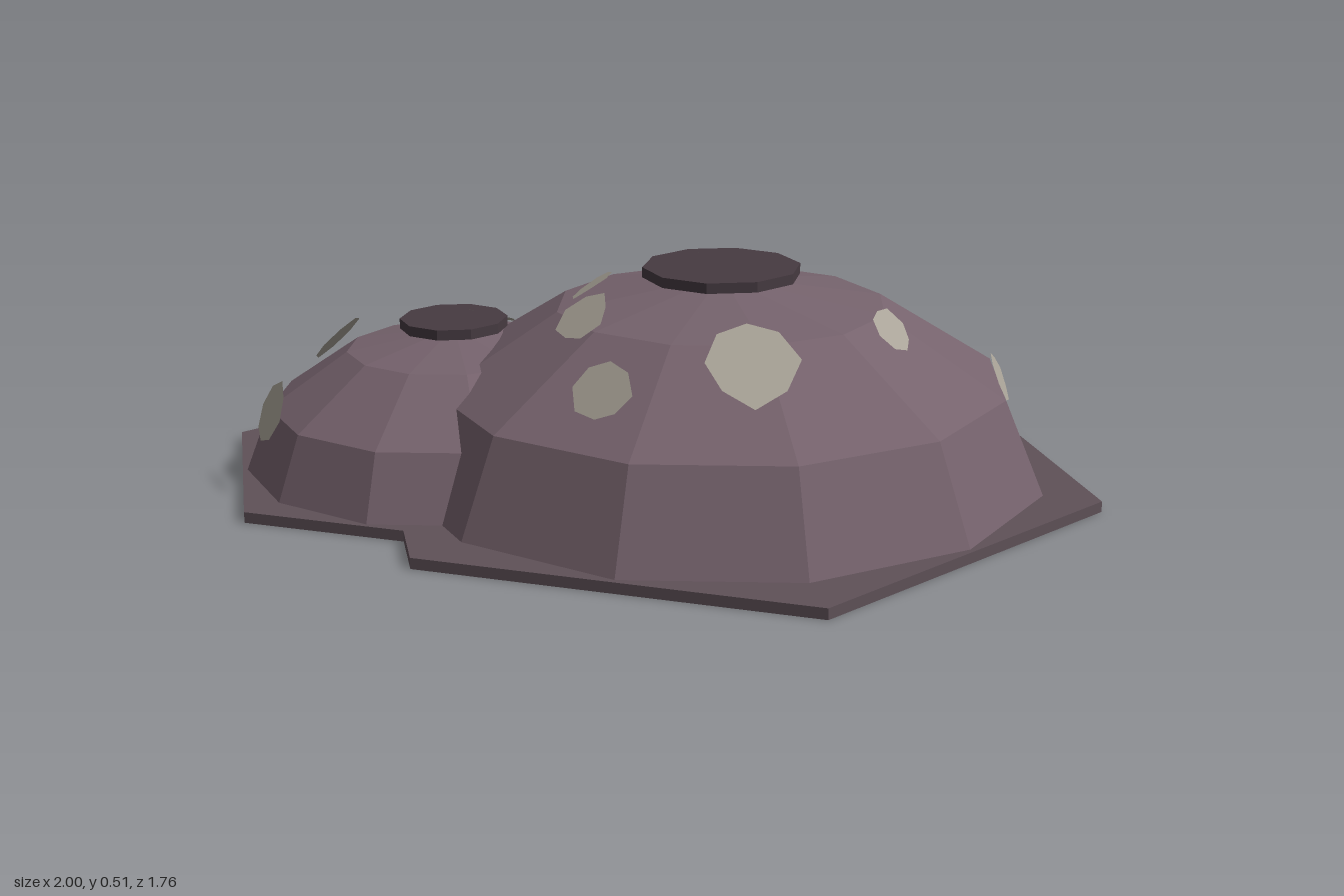
import * as THREE from 'three';

const paint = (color) => new THREE.MeshStandardMaterial({ color, flatShading: true, side: THREE.DoubleSide });
const rock = paint(0x75626c);
const ground = paint(0x5f5158);
const cap = paint(0x463a41);
const lichen = paint(0xaaa498);

// small seeded generator for the ragged patch outlines
let seed = 7;
const rand = () => (seed = (seed * 16807) % 2147483647) / 2147483647;

function add(parent, name, geometry, material) {
  const mesh = new THREE.Mesh(geometry, material);
  mesh.name = name;
  parent.add(mesh);
  return mesh;
}

// hexagon outline with corners on the x axis
function hexPoints(r) {
  return Array.from({ length: 6 }, (_, i) =>
    new THREE.Vector2(r * Math.cos(i * Math.PI / 3), r * Math.sin(i * Math.PI / 3)));
}

// flat ragged polygon lying on the dome, facing away from the dome's centre
function addPatch(parent, dome, [x, z, size, lift = 0.01]) {
  const dx = x - dome.x, dz = z - dome.z;
  const y = dome.height * Math.sqrt(Math.max(0, 1 - (dx * dx + dz * dz) / dome.radius ** 2)) + lift;
  const geo = new THREE.CircleGeometry(size, 8);
  const p = geo.attributes.position;
  for (let i = 1; i < 9; i++) {
    const k = 0.85 + 0.3 * rand();
    p.setXY(i, p.getX(i) * k, p.getY(i) * k);
  }
  p.setXY(9, p.getX(1), p.getY(1));
  const mesh = add(parent, 'lichenPatch', geo, lichen);
  mesh.position.set(dx, y, dz);
  mesh.lookAt(dx * 2, y * 2, dz * 2);
}

function addMound(parent, dome) {
  const group = new THREE.Group();
  group.name = dome.name;

  // hexagonal ring footing
  const shape = new THREE.Shape(hexPoints(dome.hex));
  shape.holes.push(new THREE.Path(hexPoints(dome.hex * 0.6)));
  const slab = new THREE.ExtrudeGeometry(shape, { depth: 0.025, bevelEnabled: false });
  add(group, 'footing', slab.rotateX(-Math.PI / 2), ground);

  // squashed half sphere, open underneath
  const shell = new THREE.SphereGeometry(1, 12, 3, 0, Math.PI * 2, 0, Math.PI / 2);
  add(group, 'dome', shell.scale(dome.radius, dome.height, dome.radius), rock);

  // ten-sided lid at the summit
  const lid = new THREE.CylinderGeometry(dome.lid, dome.lid, 0.024, 10);
  lid.rotateY(Math.PI / 2).translate(0, dome.lidY, 0);
  add(group, 'summitDisc', lid, cap);

  for (const patch of dome.patches) addPatch(group, dome, patch);
  group.position.set(dome.x, 0, dome.z);
  parent.add(group);
}

export function createModel() {
  const model = new THREE.Group();
  model.name = 'domedMounds';
  // patches: x, z, radius, lift above the dome
  const mounds = [
    { name: 'largeMound', x: 0.01, z: 0.103, hex: 0.897, radius: 0.775, height: 0.485, lid: 0.185, lidY: 0.498,
      patches: [[-0.19, -0.125, 0.06], [0.09, -0.1, 0.08], [-0.36, 0.045, 0.07, 0.015], [-0.51, 0.285, 0.065],
        [-0.26, 0.475, 0.1, 0.018], [0.14, 0.515, 0.06], [0.4, 0.62, 0.06]] },
    { name: 'middleMound', x: -0.412, z: -0.373, hex: 0.588, radius: 0.508, height: 0.345, lid: 0.127, lidY: 0.357,
      patches: [[-0.57, -0.635, 0.075, 0.02], [-0.84, -0.505, 0.07, 0.03], [-0.28, -0.42, 0.075]] },
    { name: 'smallMound', x: 0.635, z: -0.293, hex: 0.363, radius: 0.314, height: 0.222, lid: 0.085, lidY: 0.238,
      patches: [[0.48, -0.44, 0.04], [0.66, -0.385, 0.036]] },
  ];
  for (const mound of mounds) addMound(model, mound);
  return model;
}
